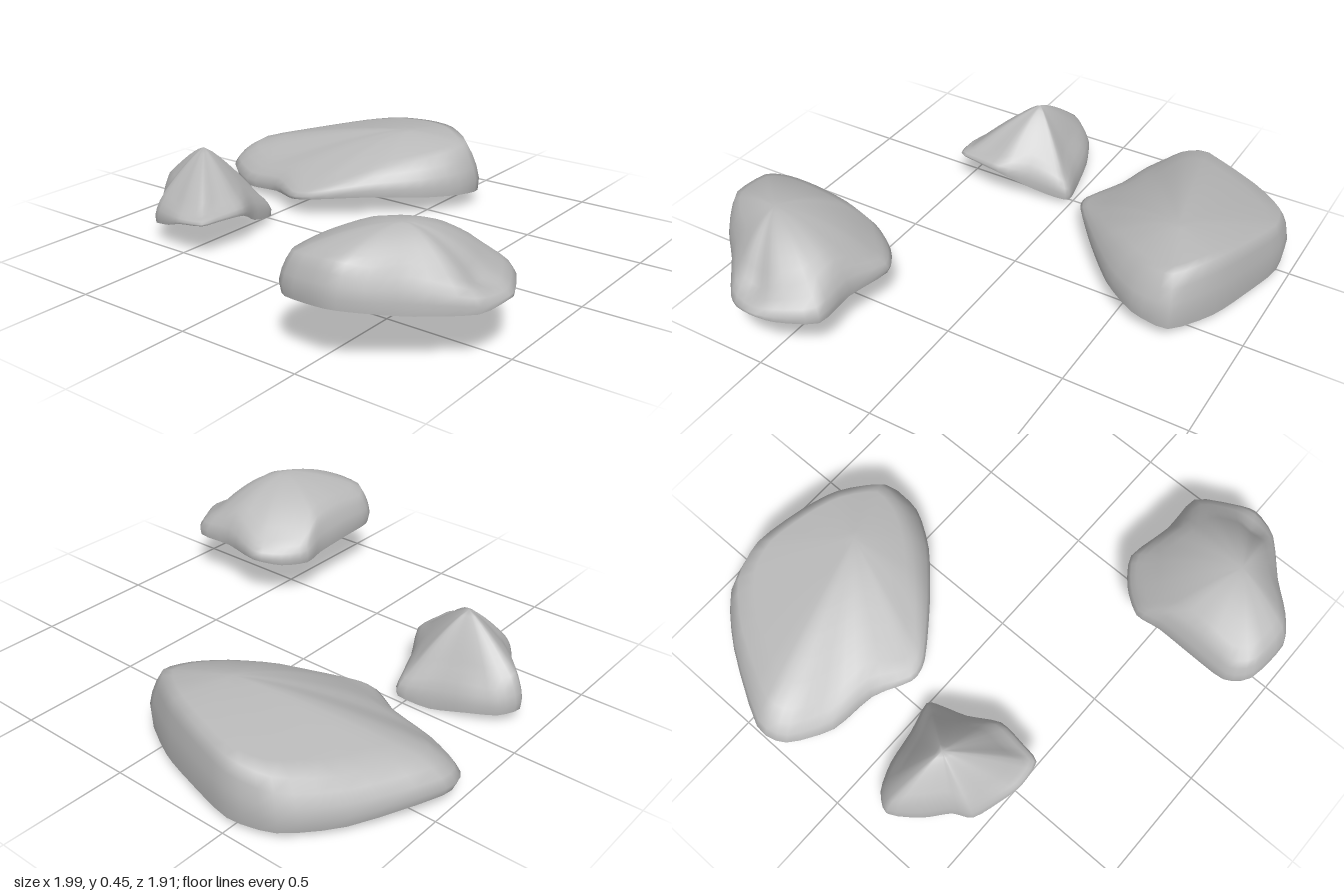
import * as THREE from 'three';

const stone = new THREE.MeshStandardMaterial({ color: 0xb8b8b8, side: THREE.DoubleSide });
stone.name = 'grey stone';

// Each outline point: x, z, rim height, shoulder height, shoulder inset towards the peak
const slab = [
  [-1, -.43, .06, .19, .14], [-.97, -.3, .04, .17, .15], [-.81, -.2, .03, .15, .2],
  [-.61, -.17, .05, .17, .2], [-.45, -.09, .07, .13, .15], [-.35, -.11, .08, .14, .15],
  [-.15, -.26, .09, .2, .2], [.02, -.42, .08, .23, .24], [.12, -.58, .07, .25, .25],
  [.12, -.74, .05, .27, .2], [-.07, -.85, .03, .29, .12], [-.25, -.91, .03, .28, .1],
  [-.48, -.96, .02, .25, .1], [-.67, -.92, .03, .22, .12], [-.83, -.74, .03, .2, .12],
];
const boulder = [
  [.34, .53, .18, .34, .13], [.33, .7, .2, .36, .15], [.33, .86, .21, .35, .12],
  [.4, .94, .22, .37, .12], [.58, .955, .23, .38, .15], [.69, .89, .22, .36, .2],
  [.8, .78, .2, .36, .3], [.96, .64, .2, .3, .25], [1, .52, .22, .27, .3],
  [.97, .43, .2, .29, .25], [.88, .29, .19, .31, .25], [.7, .29, .19, .34, .18],
  [.51, .25, .19, .27, .15], [.4, .32, .17, .27, .15], [.33, .42, .17, .28, .12],
];
const cone = [
  [-.83, .3, .03, .2, .2], [-.74, .38, .04, .2, .2], [-.7, .46, .07, .19, .2],
  [-.58, .505, .1, .18, .2], [-.49, .525, .13, .17, .15], [-.38, .51, .14, .17, .15],
  [-.36, .42, .14, .18, .2], [-.35, .3, .13, .19, .2], [-.41, .17, .06, .2, .25],
  [-.44, .06, .03, .16, .25], [-.47, 0, .02, .12, .2], [-.6, .03, 0, .16, .3],
  [-.75, .06, .03, .17, .3], [-.86, .11, .04, .17, .2], [-.91, .19, .05, .19, .15],
];

// Open-bottomed shell: steep wall from rim to shoulder, then a crown rising to the peak
function makeRock(name, outline, peak, roundness) {
  const top = new THREE.Vector3(...peak);
  const closed = (points) => new THREE.CatmullRomCurve3(points, true, 'catmullrom', 0.35);
  const edge = closed(outline.map(([x, z, y]) => new THREE.Vector3(x, y, z)));
  const shoulder = closed(outline.map(([x, z, , y, inset]) =>
    new THREE.Vector3(x + (top.x - x) * inset, y, z + (top.z - z) * inset)));

  const around = outline.length * 3, wall = 4, crown = 7;
  const positions = [], index = [];
  for (let r = 0; r < wall + crown; r++) {
    for (let j = 0; j < around; j++) {
      const e = edge.getPoint(j / around), s = shoulder.getPoint(j / around);
      const p = new THREE.Vector3();
      if (r <= wall) {
        // Wall bulges outwards a little above the rim
        const t = r / wall;
        p.lerpVectors(e, s, t * t);
        p.y = e.y + (s.y - e.y) * Math.pow(t, 0.95);
        if (r === 0) p.lerp(new THREE.Vector3(top.x, e.y, top.z), 0.025);
      } else {
        const t = (r - wall) / crown;
        p.lerpVectors(s, top, t);
        p.y = s.y + (top.y - s.y) * (1 - Math.pow(1 - t, roundness));
      }
      positions.push(p.x, p.y, p.z);
    }
  }
  positions.push(top.x, top.y, top.z);

  const rings = wall + crown, tip = rings * around;
  for (let r = 0; r < rings; r++) {
    for (let j = 0; j < around; j++) {
      const k = (j + 1) % around;
      const a = r * around + j, b = r * around + k;
      if (r === rings - 1) index.push(a, b, tip);
      else index.push(a, b, b + around, a, b + around, a + around);
    }
  }
  const geometry = new THREE.BufferGeometry();
  geometry.setAttribute('position', new THREE.Float32BufferAttribute(positions, 3));
  geometry.setIndex(index);
  geometry.computeVertexNormals();
  const mesh = new THREE.Mesh(geometry, stone);
  mesh.name = name;
  return mesh;
}

export function createModel() {
  const group = new THREE.Group();
  group.name = 'rocks';
  group.add(
    makeRock('largeFlatRock', slab, [-.2, .305, -.62], 1.5),
    makeRock('roundedRock', boulder, [.66, .45, .65], 1.8),
    makeRock('smallPeakedRock', cone, [-.62, .355, .24], 1.25),
  );
  return group;
}
